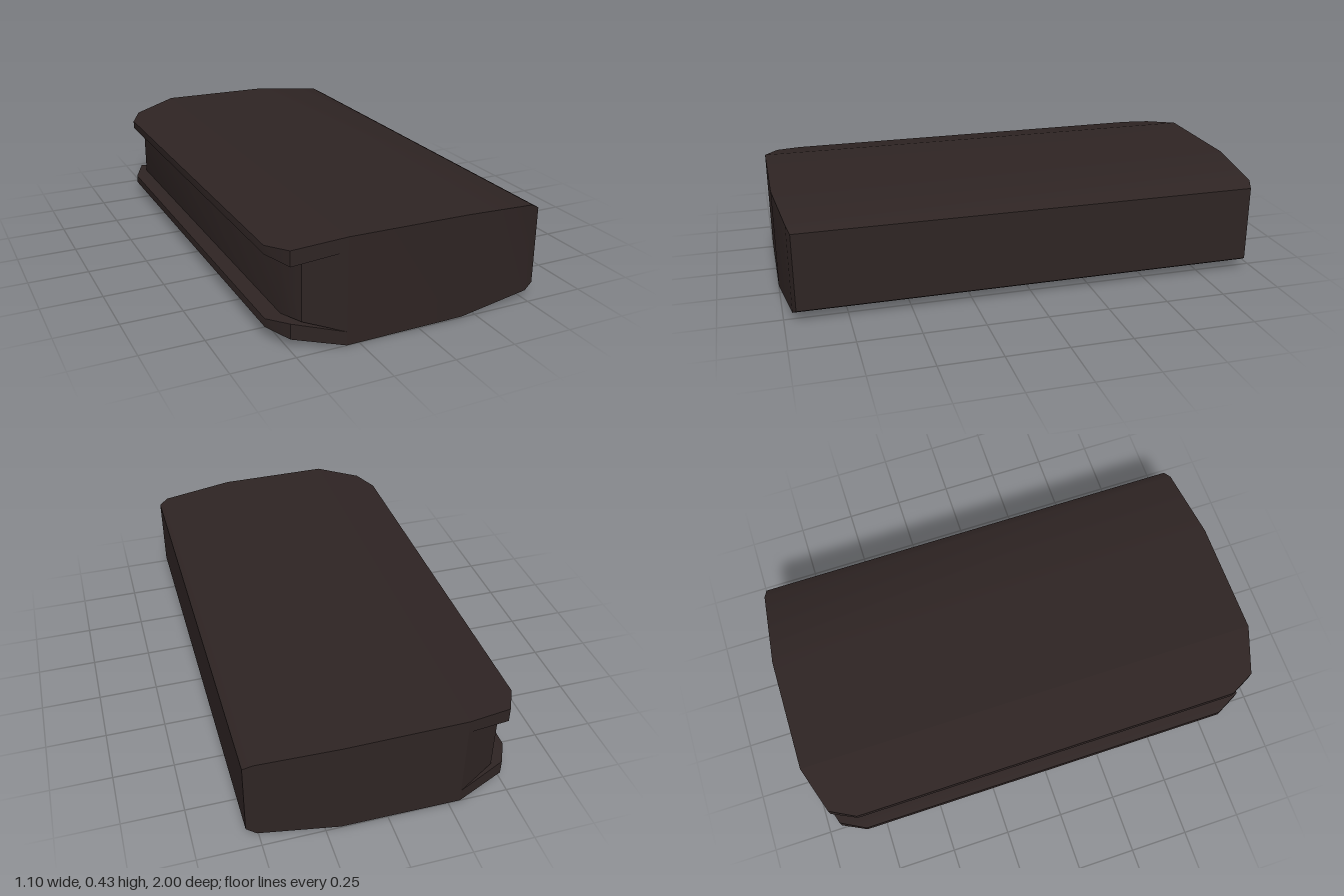
import * as THREE from 'three';
import { toCreasedNormals } from 'three/addons/utils/BufferGeometryUtils.js';

const HEIGHT = 0.425;

// Lofts rectangular sections [x, bottom, top, halfDepth] along x; caps the chosen ends.
function loft(sections, capStart, capEnd) {
  const corners = sections.map(([x, y0, y1, h]) => [
    [x, y0, h], [x, y0, -h], [x, y1, -h], [x, y1, h],
  ]);
  const pos = [];
  const quad = (a, b, c, d) => pos.push(...a, ...b, ...c, ...a, ...c, ...d);
  for (let i = 0; i < corners.length - 1; i++) {
    const a = corners[i], b = corners[i + 1];
    for (let k = 0; k < 4; k++) {
      const n = (k + 1) % 4;
      quad(a[k], a[n], b[n], b[k]);
    }
  }
  const s = corners[0], e = corners[corners.length - 1];
  if (capStart) quad(s[0], s[3], s[2], s[1]);
  if (capEnd) quad(e[0], e[1], e[2], e[3]);
  const geometry = new THREE.BufferGeometry();
  geometry.setAttribute('position', new THREE.Float32BufferAttribute(pos, 3));
  return toCreasedNormals(geometry, 0.55);
}

export function createModel() {
  const group = new THREE.Group();
  const darkBrown = new THREE.MeshStandardMaterial({ color: 0x2e2423 });
  darkBrown.name = 'darkBrown';
  const add = (name, geometry) => {
    const mesh = new THREE.Mesh(geometry, darkBrown);
    mesh.name = name;
    group.add(mesh);
  };

  // Main slab, tapering gently towards the flat side
  add('body', loft([
    [-0.3, 0, HEIGHT, 1],
    [0.19, 0.004, 0.421, 1],
    [0.51, 0.031, 0.394, 0.965],
    [0.55, 0.053, 0.372, 0.952],
  ], false, true));

  // Recessed wall at the bottom of the long groove
  add('grooveCore', loft([
    [-0.495, 0.102, 0.323, 0.85],
    [-0.45, 0.098, 0.327, 0.935],
    [-0.3, 0.055, 0.37, 1],
  ], true, false));

  // Lips above and below the groove
  const lip = [
    [-0.55, 0.34, 0.374, 0.835],
    [-0.495, 0.323, 0.385, 0.94],
    [-0.3, 0.37, HEIGHT, 1],
  ];
  add('upperLip', loft(lip, true, false));
  add('lowerLip', loft(lip.map(([x, y0, y1, h]) => [x, HEIGHT - y1, HEIGHT - y0, h]), true, false));

  return group;
}
